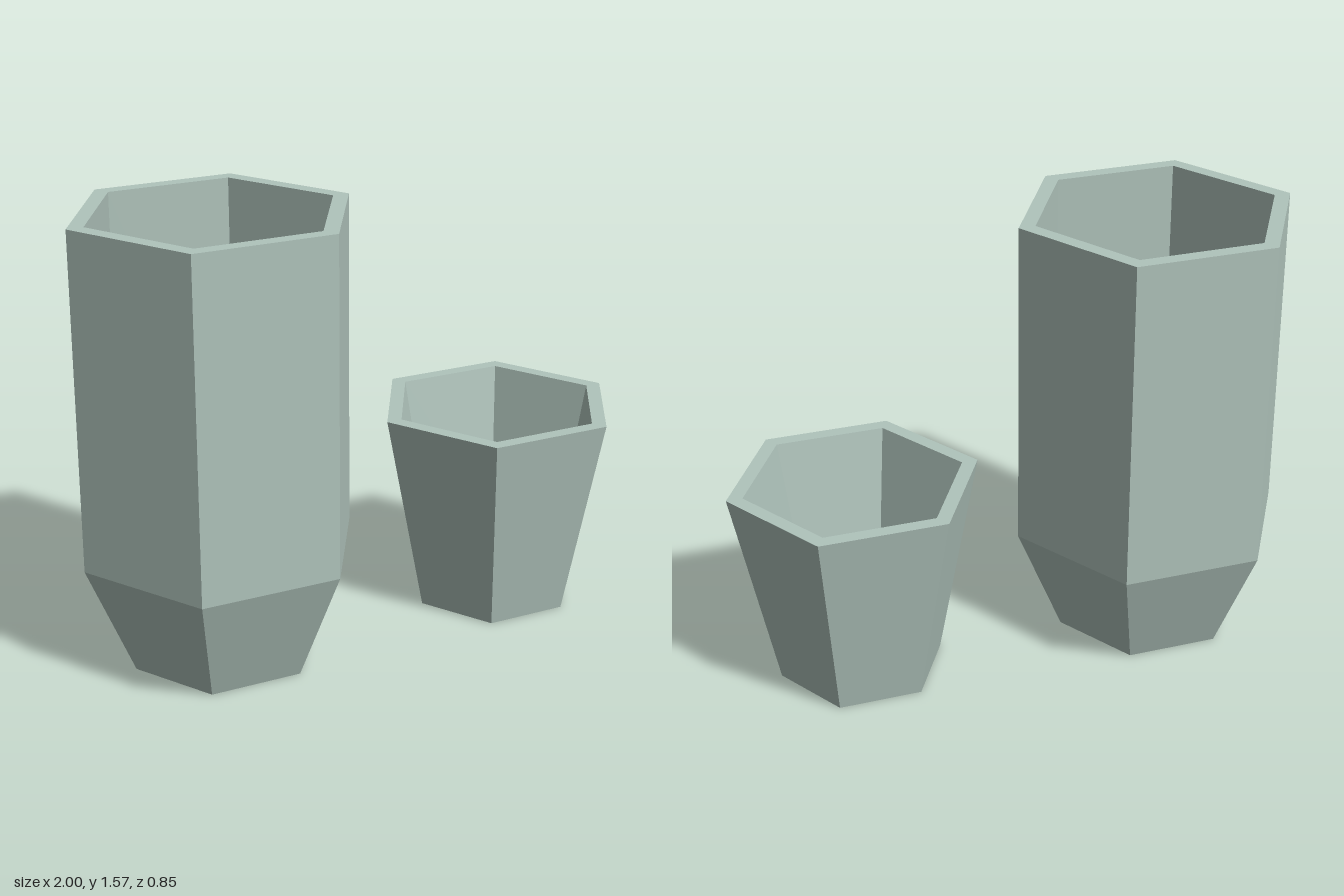
import * as THREE from 'three';

const material = new THREE.MeshStandardMaterial({ color: 0xb0c4bc, flatShading: true });

// Six-sided hollow vessel: profile runs [radius, height] from outer base, over the rim, to inner floor
function hexVessel(name, x, profile) {
  const points = profile.map(([r, y]) => new THREE.Vector2(r, y));
  const geometry = new THREE.LatheGeometry(points, 6, Math.PI / 2).toNonIndexed();
  geometry.computeVertexNormals();
  const mesh = new THREE.Mesh(geometry, material);
  mesh.name = name;
  mesh.position.x = x;
  return mesh;
}

export function createModel() {
  const group = new THREE.Group();
  group.name = 'hexagonalVessels';

  // Tall vase: straight walls above a tapered foot
  group.add(hexVessel('tallVase', -0.512, [
    [0, 0], [0.323, 0], [0.488, 0.4], [0.488, 1.57], // outside
    [0.43, 1.57], [0.43, 0.41],                      // rim and inner wall
    [0.31, 0.13], [0.24, 0.07], [0.11, 0.045], [0, 0.04], // dished floor
  ]));

  // Short cup: walls flare from base to rim
  group.add(hexVessel('shortCup', 0.562, [
    [0, 0], [0.29, 0], [0.438, 0.735],               // outside
    [0.382, 0.735], [0.27, 0.15],                    // rim and inner wall
    [0.22, 0.075], [0.1, 0.05], [0, 0.045],          // dished floor
  ]));

  return group;
}
